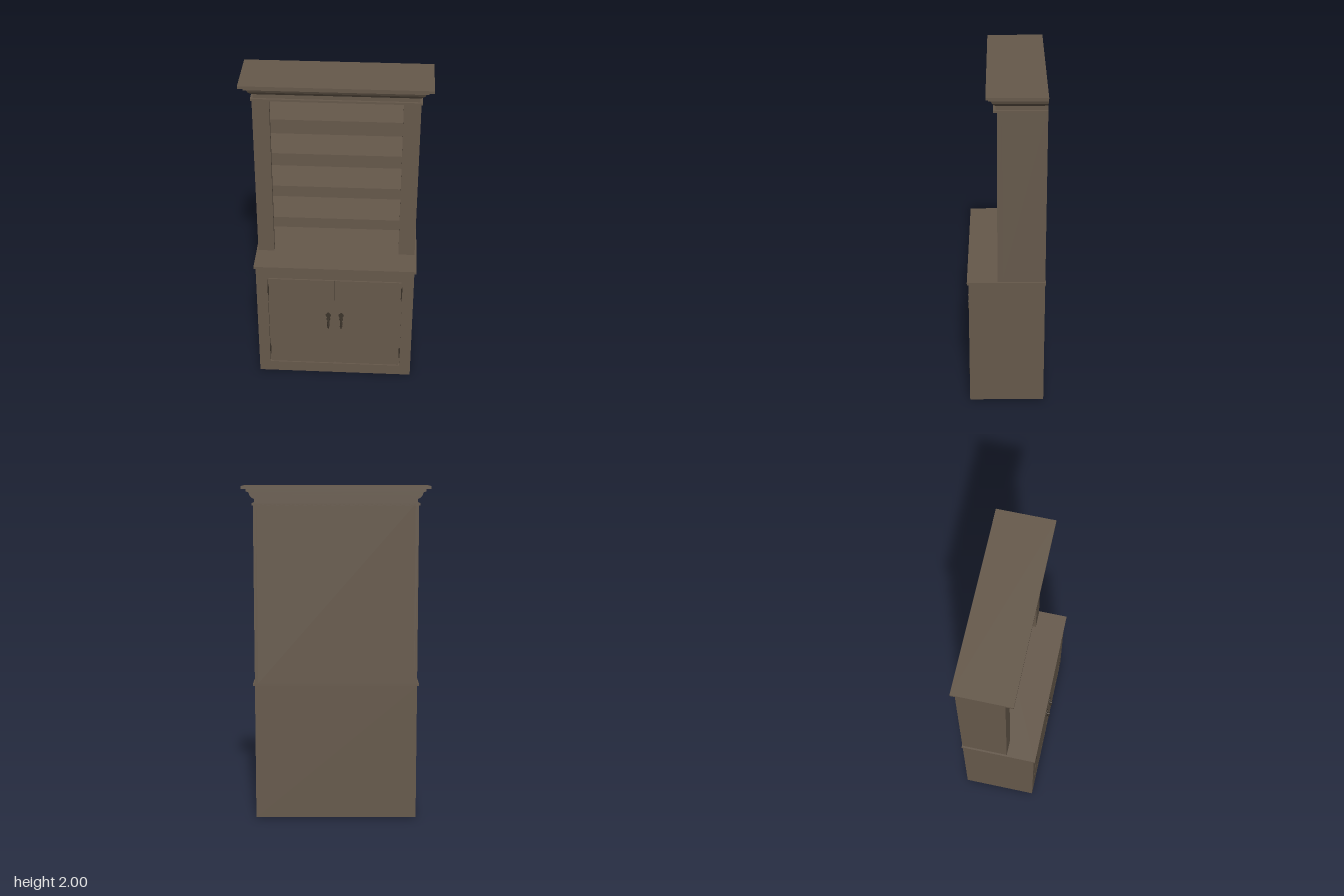
import * as THREE from 'three';

const wood = new THREE.MeshStandardMaterial({ color: 0x66594b });
wood.name = 'brownWood';
const metal = new THREE.MeshStandardMaterial({ color: 0x3c342b });
metal.name = 'darkMetal';

const BACK = -0.235;

export function createModel() {
  const root = new THREE.Group();
  root.name = 'hutchCabinet';

  const add = (name, geo, mat = wood, parent = root) => {
    const m = new THREE.Mesh(geo, mat);
    m.name = name;
    parent.add(m);
    return m;
  };
  // box given by its minimum and maximum on each axis
  const box = (name, x0, x1, y0, y1, z0, z1, mat = wood, parent = root) => {
    const m = add(name, new THREE.BoxGeometry(x1 - x0, y1 - y0, z1 - z0), mat, parent);
    m.position.set((x0 + x1) / 2, (y0 + y1) / 2, (z0 + z1) / 2);
    return m;
  };

  // lower cupboard: solid body and a face frame around the doors
  box('cupboardBody', -0.485, 0.485, 0, 0.815, BACK, 0.195);
  const frame = new THREE.Shape([[-0.485, 0], [0.485, 0], [0.485, 0.815], [-0.485, 0.815]]
    .map(p => new THREE.Vector2(...p)));
  frame.holes.push(new THREE.Path([[-0.415, 0.073], [-0.415, 0.745], [0.415, 0.745], [0.415, 0.073]]
    .map(p => new THREE.Vector2(...p))));
  const frameMesh = add('faceFrame',
    new THREE.ExtrudeGeometry(frame, { depth: 0.02, bevelEnabled: false }));
  frameMesh.position.z = 0.195;

  box('counterTop', -0.496, 0.496, 0.815, 0.832, -0.238, 0.224);

  // doors, hinges and drop pulls, one set per side
  for (const s of [-1, 1]) {
    const inner = s * 0.003, outer = s * 0.408;
    box('door', Math.min(inner, outer), Math.max(inner, outer), 0.08, 0.738, 0.196, 0.215);

    for (const y of [0.18, 0.655]) {
      const hinge = add('hinge', new THREE.CylinderGeometry(0.004, 0.004, 0.08, 10), metal);
      hinge.position.set(s * 0.412, y, 0.215);
    }

    const pull = new THREE.Group();
    pull.name = 'doorPull';
    pull.position.set(s * 0.04, 0, 0.215);
    root.add(pull);
    // ornamental back plate
    const plate = new THREE.Shape();
    plate.moveTo(0, 0.365);
    plate.quadraticCurveTo(0.013, 0.4, 0.006, 0.425);
    plate.lineTo(0.013, 0.44);
    plate.lineTo(0.007, 0.452);
    plate.quadraticCurveTo(0.026, 0.472, 0.008, 0.484);
    plate.lineTo(0, 0.492);
    plate.lineTo(-0.008, 0.484);
    plate.quadraticCurveTo(-0.026, 0.472, -0.007, 0.452);
    plate.lineTo(-0.013, 0.44);
    plate.lineTo(-0.006, 0.425);
    plate.quadraticCurveTo(-0.013, 0.4, 0, 0.365);
    add('pullPlate', new THREE.ExtrudeGeometry(plate,
      { depth: 0.003, bevelEnabled: false, curveSegments: 6 }), metal, pull);
    const post = add('pullPost', new THREE.CylinderGeometry(0.006, 0.006, 0.02, 10), metal, pull);
    post.rotation.x = Math.PI / 2;
    post.position.set(0, 0.437, 0.01);
    const drop = add('pullDrop', new THREE.LatheGeometry(
      [[0, 0.37], [0.004, 0.374], [0.004, 0.382], [0.008, 0.392], [0.006, 0.408],
        [0.003, 0.425], [0.003, 0.437], [0, 0.438]].map(p => new THREE.Vector2(...p)), 12), metal, pull);
    drop.position.z = 0.0115;
  }

  // upper bookcase: sides, stiles, back and ceiling
  for (const s of [-1, 1]) {
    const side = box('hutchSide', -0.01, 0.01, 0.832, 1.9, BACK, 0.016);
    side.position.x = s * 0.475;
    const stile = box('frontStile', -0.05, 0.05, 0.832, 1.9, 0.016, 0.045);
    stile.position.x = s * 0.435;
  }
  box('hutchBack', -0.465, 0.465, 0.832, 1.9, BACK, -0.22);
  box('hutchCeiling', -0.465, 0.465, 1.886, 1.9, -0.22, 0.016);
  box('topRail', -0.385, 0.385, 1.886, 1.9, 0.016, 0.045);

  // shelves
  for (let i = 0; i < 4; i++) {
    const y = 1.05 + i * 0.2265;
    box('shelf', -0.465, 0.465, y, y + 0.015, -0.22, 0.016);
  }

  // mitred cornice: half width, height, front z
  const profile = [
    [0.491, 1.888, 0.066], [0.491, 1.901, 0.066], [0.477, 1.901, 0.053],
    [0.477, 1.925, 0.053], [0.49, 1.932, 0.06], [0.503, 1.945, 0.07],
    [0.511, 1.965, 0.08], [0.525, 1.968, 0.091], [0.525, 1.984, 0.091],
    [0.555, 1.984, 0.106], [0.555, 2.0, 0.106],
  ];
  const rings = profile.map(([x, y, z]) =>
    [[-x, y, BACK], [-x, y, z], [x, y, z], [x, y, BACK]]);
  const pos = [];
  const quad = (a, b, c, d) => pos.push(...a, ...b, ...c, ...a, ...c, ...d);
  for (let i = 0; i < rings.length - 1; i++) {
    for (let k = 0; k < 4; k++) {
      const n = (k + 1) % 4;
      quad(rings[i][k], rings[i][n], rings[i + 1][n], rings[i + 1][k]);
    }
  }
  quad(...rings[rings.length - 1]);
  quad(...[...rings[0]].reverse());
  const cornice = new THREE.BufferGeometry();
  cornice.setAttribute('position', new THREE.Float32BufferAttribute(pos, 3));
  cornice.computeVertexNormals();
  add('cornice', cornice);

  return root;
}
